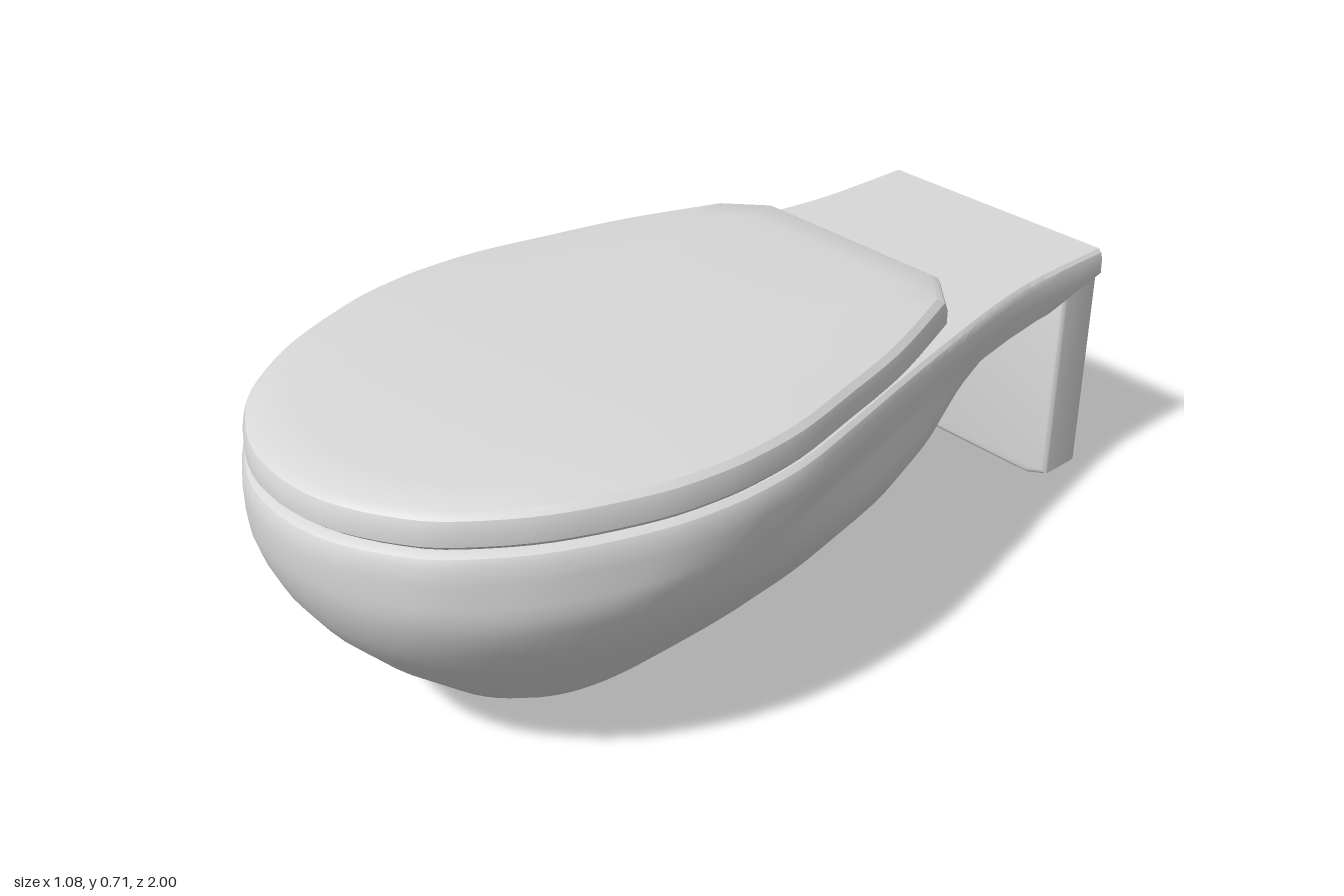
import * as THREE from 'three';
import { toCreasedNormals } from 'three/addons/utils/BufferGeometryUtils.js';

const SIDE_STEPS = 44;

// Smooth half outline (x, z) running from the front tip along the left side
function halfOutline(points, steps) {
  return new THREE.SplineCurve(points.map(([x, z]) => new THREE.Vector2(x, z))).getSpacedPoints(steps);
}

// Full ring at height y from a half outline, mirrored across x = 0
function mirrorRing(half, y) {
  const left = half.map((p) => new THREE.Vector3(p.x, y, p.y));
  const right = half.slice(1).reverse().map((p) => new THREE.Vector3(-p.x, y, p.y));
  return [...left, ...right];
}

// Skin between stacked rings, closed at both ends
function loft(rings, topRise = 0) {
  const pos = [];
  const tri = (...v) => v.forEach((p) => pos.push(p.x, p.y, p.z));
  const n = rings[0].length;
  for (let j = 0; j < rings.length - 1; j++) {
    for (let i = 0; i < n; i++) {
      const k = (i + 1) % n;
      const [a, b, c, d] = [rings[j][i], rings[j][k], rings[j + 1][k], rings[j + 1][i]];
      tri(a, b, c);
      tri(a, c, d);
    }
  }
  const centre = (ring) => ring.reduce((s, p) => s.add(p), new THREE.Vector3()).divideScalar(n);
  const first = rings[0];
  const last = rings[rings.length - 1];
  const low = centre(first);
  const high = centre(last);
  high.y += topRise;
  for (let i = 0; i < n; i++) {
    const k = (i + 1) % n;
    tri(low, first[k], first[i]);
    tri(high, last[i], last[k]);
  }
  const geo = new THREE.BufferGeometry();
  geo.setAttribute('position', new THREE.Float32BufferAttribute(pos, 3));
  return toCreasedNormals(geo, 0.5);
}

// Relative half width of the lower bowl from front (s = 0) to back (s = 1), squarer near the foot
function eggWidth(s, y) {
  const widest = 0.4;
  const v = s < widest ? 1 - s / widest : (s - widest) / (1 - widest);
  const power = (s < widest ? 2.1 : 2.3) + 0.7 * Math.max(0, 1 - y / 0.2);
  return Math.pow(Math.max(0, 1 - Math.pow(v, power)), 1 / power);
}

// Bowl: egg-shaped rings low down, blending into the rim outline with its neck
function bowlGeometry() {
  const rim = halfOutline([
    [0, 1], [0.08, 0.993], [0.16, 0.969], [0.25, 0.92], [0.33, 0.855], [0.432, 0.71], [0.508, 0.52],
    [0.534, 0.38], [0.537, 0.28], [0.527, 0.16], [0.49, 0], [0.44, -0.2], [0.388, -0.42], [0.35, -0.6],
    [0.33, -0.74], [0.325, -0.88], [0.324, -1],
  ], SIDE_STEPS);
  // height, front z, back z, half width, share of rim outline
  const levels = [
    [0, 0.54, -0.1, 0.17, 0],
    [0.012, 0.56, -0.125, 0.185, 0],
    [0.05, 0.63, -0.2, 0.226, 0],
    [0.1, 0.71, -0.305, 0.275, 0],
    [0.2, 0.825, -0.465, 0.367, 0],
    [0.3, 0.912, -0.595, 0.443, 0.05],
    [0.37, 0.957, -0.65, 0.49, 0.15],
    [0.43, 0.982, -0.695, 0.515, 0.35],
    [0.47, 0.993, -0.75, 0.526, 0.65],
    [0.5, 0.998, -0.88, 0.533, 0.95],
    [0.55, 1, -1, 0.537, 1],
    [0.585, 0.997, -1, 0.535, 1],
    [0.6, 0.99, -1, 0.528, 1],
    [0.608, 0.975, -1, 0.515, 1],
  ];
  const rings = levels.map(([y, zf, zb, w, share]) => {
    const half = rim.map((p) => {
      const s = THREE.MathUtils.clamp((1 - p.y) / 2, 0, 1);
      const x = w * THREE.MathUtils.lerp(eggWidth(s, y), p.x / 0.537, share);
      return new THREE.Vector2(x, zf + (zb - zf) * s);
    });
    return mirrorRing(half, y);
  });
  return loft(rings);
}

// Lid: rounded front, clipped rear corners, gently domed top
function lidGeometry() {
  const half = halfOutline([
    [0, 0.985], [0.08, 0.978], [0.16, 0.954], [0.25, 0.905], [0.325, 0.842], [0.424, 0.7], [0.498, 0.515],
    [0.523, 0.38], [0.526, 0.28], [0.516, 0.16], [0.48, 0], [0.43, -0.2], [0.345, -0.43],
  ], SIDE_STEPS);
  half.push(new THREE.Vector2(0.255, -0.51));
  const midZ = 0.24;
  // height, scale about the middle
  const levels = [
    [0.6, 0.965], [0.613, 0.965], [0.614, 0.985], [0.624, 1], [0.655, 1], [0.674, 0.99],
    [0.685, 0.965], [0.694, 0.85], [0.703, 0.65], [0.709, 0.4],
  ];
  const rings = levels.map(([y, k]) =>
    mirrorRing(half.map((p) => new THREE.Vector2(p.x * k, midZ + (p.y - midZ) * k)), y));
  return loft(rings, 0.003);
}

// Wall plate: upright slab with clipped lower corners and softened edges
function wallPlateGeometry() {
  const bevel = 0.012;
  const right = [[0.19, 0.036], [0.26, 0.037], [0.304, 0.053], [0.304, 0.56]];
  const left = right.map(([x, y]) => [-x, y]).reverse();
  const shape = new THREE.Shape([...right, ...left].map(([x, y]) => new THREE.Vector2(x, y)));
  const geo = new THREE.ExtrudeGeometry(shape, {
    depth: 0.118 - 2 * bevel, bevelThickness: bevel, bevelSize: bevel, bevelSegments: 3,
  });
  geo.translate(0, 0, -1 + bevel);
  return toCreasedNormals(geo, 0.6);
}

export function createModel() {
  const ceramic = new THREE.MeshStandardMaterial({ color: 0xd8d8d8 });
  ceramic.name = 'ceramic grey';
  const model = new THREE.Group();
  model.name = 'wallHungToilet';
  const add = (name, geometry) => {
    const mesh = new THREE.Mesh(geometry, ceramic);
    mesh.name = name;
    model.add(mesh);
  };

  add('bowl', bowlGeometry());
  add('lid', lidGeometry());
  add('wallPlate', wallPlateGeometry());

  return model;
}
